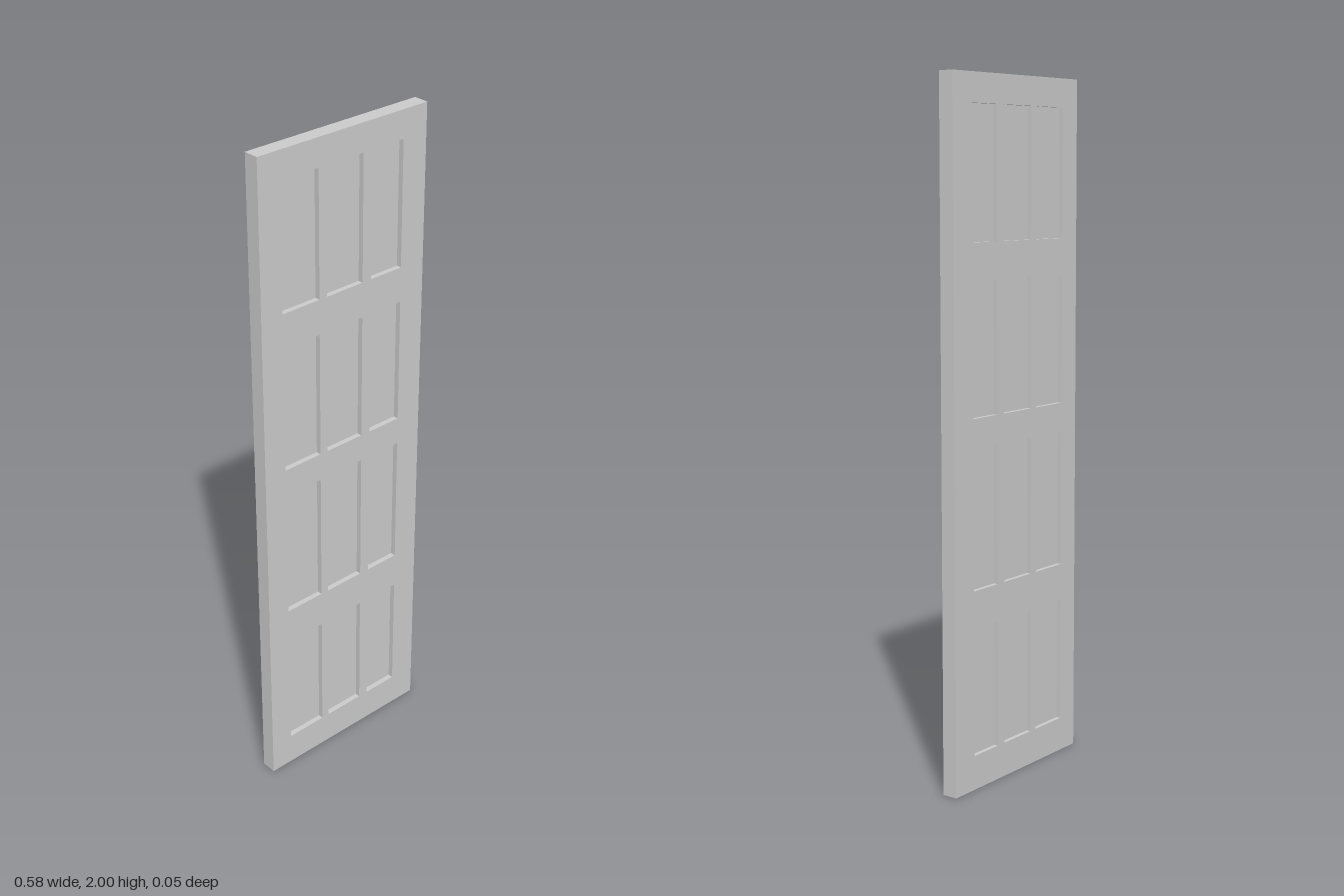
import * as THREE from 'three';

const WIDTH = 0.578, HEIGHT = 2, DEPTH = 0.046;
const COLUMNS = [[-0.218, -0.09], [-0.064, 0.064], [0.095, 0.206]];
const ROWS = [[0.1, 0.467], [0.578, 0.98], [1.064, 1.441], [1.546, 1.918]];
const FRONT_RECESS = 0.016, BACK_RECESS = 0.013;

// Closed rectangle outline for a shape or hole
function rectangle(path, x0, y0, x1, y1) {
  path.moveTo(x0, y0);
  path.lineTo(x1, y0);
  path.lineTo(x1, y1);
  path.lineTo(x0, y1);
  path.closePath();
  return path;
}

export function createModel() {
  const group = new THREE.Group();
  group.name = 'panelledDoor';
  const material = new THREE.MeshStandardMaterial({ color: 0xcccccc });

  // Frame of stiles and rails with twelve openings
  const outline = rectangle(new THREE.Shape(), -WIDTH / 2, 0, WIDTH / 2, HEIGHT);
  for (const [y0, y1] of ROWS) {
    for (const [x0, x1] of COLUMNS) {
      outline.holes.push(rectangle(new THREE.Path(), x0, y0, x1, y1));
    }
  }
  const frameGeometry = new THREE.ExtrudeGeometry(outline, { depth: DEPTH, bevelEnabled: false });
  frameGeometry.translate(0, 0, -DEPTH / 2);
  const frame = new THREE.Mesh(frameGeometry, material);
  frame.name = 'frame';
  group.add(frame);

  // Panels set back from both faces of the frame
  const panels = new THREE.Group();
  panels.name = 'panels';
  const thickness = DEPTH - FRONT_RECESS - BACK_RECESS;
  for (const [y0, y1] of ROWS) {
    for (const [x0, x1] of COLUMNS) {
      const panel = new THREE.Mesh(new THREE.BoxGeometry(x1 - x0, y1 - y0, thickness), material);
      panel.name = 'panel';
      panel.position.set((x0 + x1) / 2, (y0 + y1) / 2, (BACK_RECESS - FRONT_RECESS) / 2);
      panels.add(panel);
    }
  }
  group.add(panels);

  return group;
}
